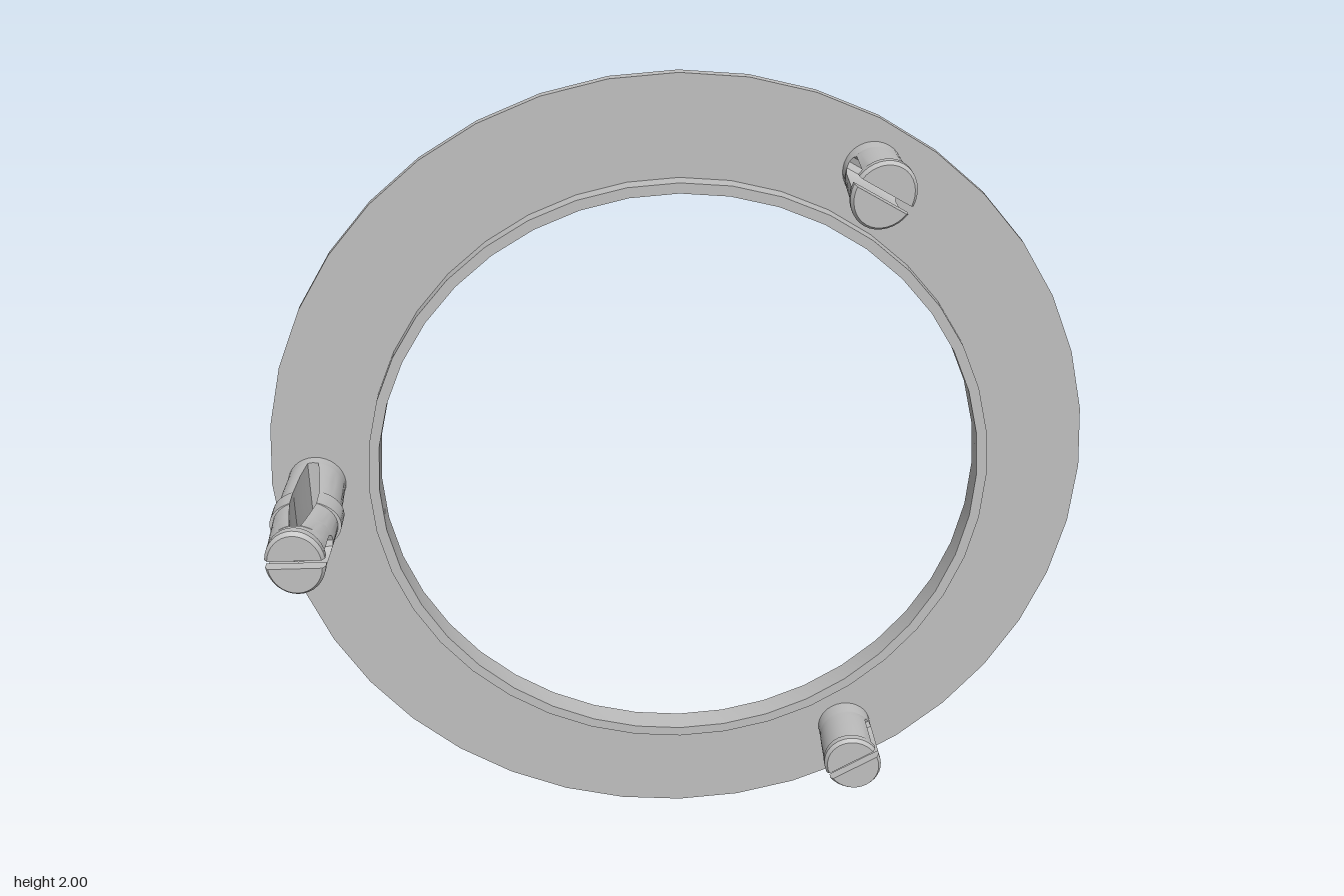
import * as THREE from 'three';
import { toCreasedNormals } from 'three/addons/utils/BufferGeometryUtils.js';

const metal = new THREE.MeshStandardMaterial({ color: 0xbfbfbf });
metal.name = 'light grey';

// Ring swept from a closed [radius, z] profile around the z axis
function ring(name, profile) {
  const points = [...profile, profile[0]].map(([r, z]) => new THREE.Vector2(r, z));
  const geo = new THREE.LatheGeometry(points, 40).rotateX(Math.PI / 2);
  const mesh = new THREE.Mesh(toCreasedNormals(geo, 0.5), metal);
  mesh.name = name;
  return mesh;
}

// Split peg: four mirrored quarters lofted through stations
// [z, rx, ry, h, g], where h and g are the half widths of the two slots
const ARC = 8;
function peg(name, stations) {
  const pos = [];
  const section = ([z, rx, ry, h, g], sx, sy) => {
    const a0 = Math.asin(g / ry), a1 = Math.acos(h / rx);
    const pts = [[h, g]];
    for (let i = 0; i <= ARC; i++) {
      const a = a0 + (a1 - a0) * i / ARC;
      pts.push([rx * Math.cos(a), ry * Math.sin(a)]);
    }
    return pts.map(([x, y]) => [x * sx, y * sy, z]);
  };
  for (const sx of [1, -1]) for (const sy of [1, -1]) {
    const tri = (a, b, c) => pos.push(...a, ...(sx * sy > 0 ? [...b, ...c] : [...c, ...b]));
    const loops = stations.map((s) => section(s, sx, sy));
    const n = loops[0].length;
    for (let k = 0; k + 1 < loops.length; k++) {
      const A = loops[k], B = loops[k + 1], s = stations[k], t = stations[k + 1];
      for (let i = 0; i < n; i++) {
        // closed slots have no walls
        if (i === 0 && s[4] + t[4] === 0) continue;
        if (i === n - 1 && s[3] + t[3] === 0) continue;
        const j = (i + 1) % n;
        tri(A[i], A[j], B[j]);
        tri(A[i], B[j], B[i]);
      }
    }
    // end caps
    const first = loops[0], last = loops[loops.length - 1];
    for (let i = 1; i + 1 < n; i++) {
      tri(first[0], first[i + 1], first[i]);
      tri(last[0], last[i], last[i + 1]);
    }
  }
  const geo = new THREE.BufferGeometry();
  geo.setAttribute('position', new THREE.Float32BufferAttribute(pos, 3));
  const mesh = new THREE.Mesh(toCreasedNormals(geo, 0.5), metal);
  mesh.name = name;
  return mesh;
}

export function createModel() {
  const model = new THREE.Group();
  model.name = 'ringWithPegs';

  // Flat flange with a raised lip around the opening
  const flange = ring('flangeWithLip', [
    [0.735, -0.215], [1, -0.215], [1, -0.19], [0.76, -0.19], [0.76, -0.15], [0.735, -0.15],
  ]);
  flange.position.y = 1;
  model.add(flange);

  // Long peg: lens-shaped eye, middle band, split head
  const longPeg = peg('longPeg', [
    [-0.195, 0.07, 0.07, 0, 0],
    [-0.162, 0.07, 0.07, 0, 0],
    [-0.16, 0.07, 0.07, 0.013, 0],
    [-0.1, 0.073, 0.069, 0.023, 0],
    [-0.031, 0.075, 0.064, 0.031, 0],
    [-0.03, 0.084, 0.064, 0.031, 0],
    [0.027, 0.084, 0.064, 0.031, 0],
    [0.028, 0.076, 0.064, 0.031, 0],
    [0.1, 0.073, 0.068, 0.022, 0],
    [0.105, 0.073, 0.068, 0.021, 0.014],
    [0.12, 0.072, 0.069, 0.019, 0.022],
    [0.158, 0.07, 0.072, 0.013, 0.022],
    [0.16, 0.07, 0.072, 0, 0.022],
    [0.184, 0.069, 0.073, 0, 0.022],
    [0.186, 0.069, 0.082, 0, 0.01],
    [0.203, 0.069, 0.082, 0, 0.01],
    [0.213, 0.062, 0.074, 0, 0.01],
  ]);
  longPeg.position.set(-0.89, 1, 0);
  model.add(longPeg);

  // Two short pegs, slots running along the ring
  for (const side of [1, -1]) {
    const shortPeg = peg(side > 0 ? 'upperShortPeg' : 'lowerShortPeg', [
      [-0.195, 0.069, 0.069, 0, 0],
      [-0.152, 0.069, 0.069, 0, 0],
      [-0.147, 0.069, 0.069, 0, 0.014],
      [-0.132, 0.07, 0.07, 0, 0.022],
      [-0.032, 0.072, 0.074, 0, 0.022],
      [-0.03, 0.072, 0.081, 0, 0.01],
      [-0.015, 0.072, 0.081, 0, 0.01],
      [-0.005, 0.065, 0.074, 0, 0.01],
    ]);
    shortPeg.position.set(0.443, 1 + side * 0.768, 0);
    shortPeg.rotation.z = -side * Math.PI / 6;
    model.add(shortPeg);
  }
  return model;
}
